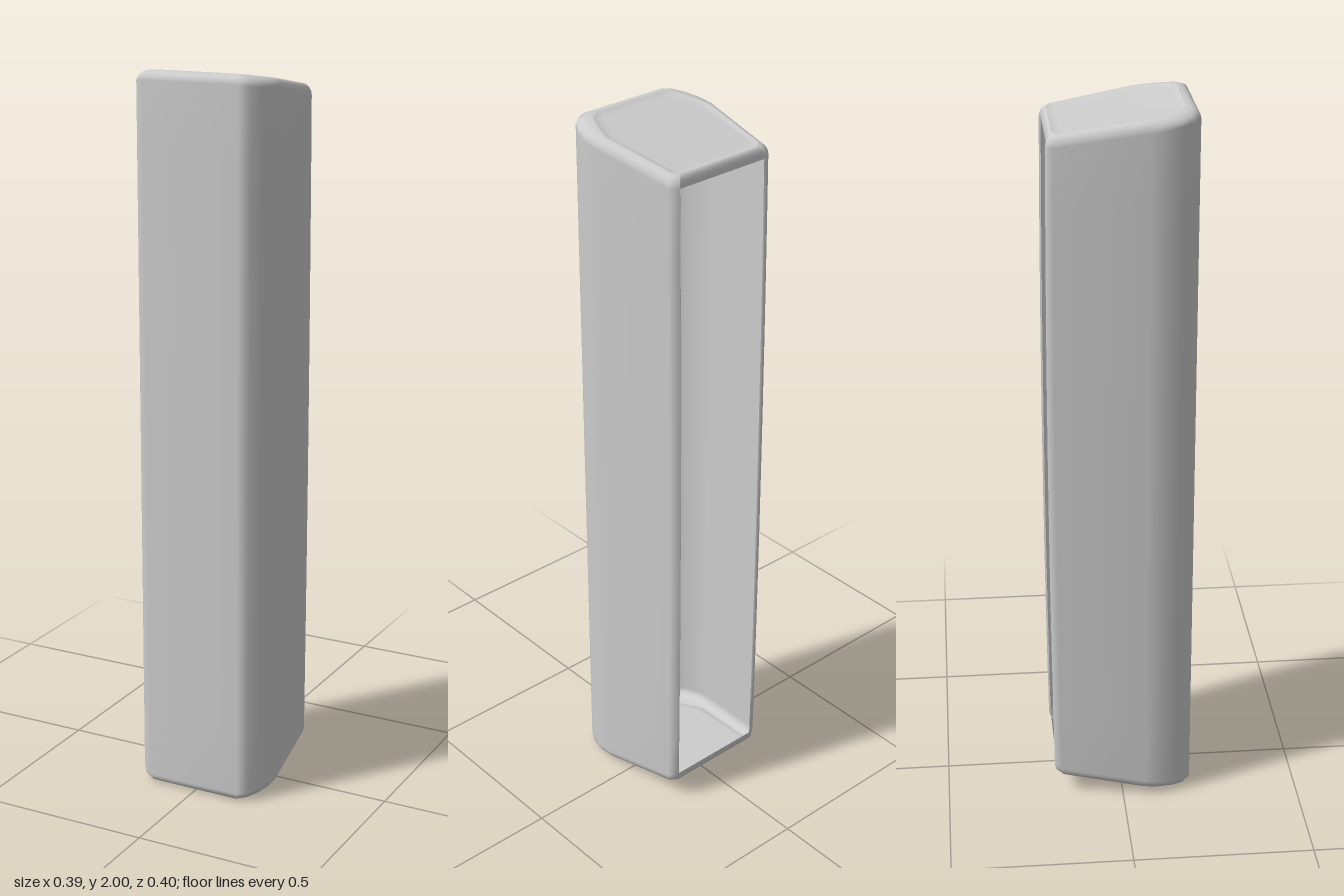
import * as THREE from 'three';

// Half outlines [x, z], running from the open back round to the front
const WALL = [[0.14, -0.195], [0.145, -0.2], [0.167, -0.181], [0.197, 0.065], [0.196, 0.105], [0.183, 0.15], [0.163, 0.18], [0.138, 0.197]];
const CAP = [[0.125, -0.177], [0.132, -0.172], [0.145, -0.16], [0.171, 0.05], [0.163, 0.08], [0.15, 0.112], [0.135, 0.145], [0.11, 0.162]];
const FILLET = 0.03, SLOPE = 0.16;

const mirror = (half) => [...half, ...half.map(([x, z]) => [-x, z]).reverse()];
const capY = (z) => 2 - SLOPE * (0.162 - z); // sloping end plane

// The wall bows out a little at mid height along the back
const wallAt = (t) => mirror(WALL.map(([x, z]) => [x, z < 0 ? z * (0.97 + 0.03 * (1 - t * t)) : z]));
const cap = mirror(CAP);
const N = cap.length;

// One ring of the rounded end, a = 0 at the wall and PI / 2 at the cap
function filletRing(a) {
  return wallAt(1).map(([x, z], i) => {
    const [cx, cz] = cap[i];
    const k = Math.cos(a);
    const pz = cz + (z - cz) * k;
    return [cx + (x - cx) * k, capY(pz) - FILLET * (1 - Math.sin(a)), pz];
  });
}
const flip = (ring) => ring.map(([x, y, z]) => [x, 2 - y, z]);

function build(rings, index) {
  const geo = new THREE.BufferGeometry();
  geo.setAttribute('position', new THREE.Float32BufferAttribute(rings.flat(2), 3));
  geo.setIndex(index);
  geo.computeVertexNormals();
  return geo;
}

// Open-backed wall with rounded ends
function shellGeometry() {
  const steps = 5, rows = 10, rings = [], index = [];
  const ends = Array.from({ length: steps + 1 }, (_, k) => filletRing((k / steps) * Math.PI / 2));
  for (let k = steps; k >= 0; k--) rings.push(flip(ends[k]));
  for (let r = 1; r < rows; r++) {
    const t = (2 * r) / rows - 1;
    rings.push(wallAt(t).map(([x, z], i) => [x, 1 + t * (ends[0][i][1] - 1), z]));
  }
  rings.push(...ends);
  for (let j = 0; j < rings.length - 1; j++) {
    const open = j >= steps && j < steps + rows;
    for (let i = 0; i < (open ? N - 1 : N); i++) {
      const a = j * N + i, b = j * N + ((i + 1) % N), c = a + N, d = b + N;
      index.push(a, c, b, b, c, d);
    }
  }
  return build(rings, index);
}

// Sloping end panel with a faintly sunken middle
function capGeometry(top) {
  const ring = (s, drop) => cap.map(([x, z]) => [x * s, capY(z * s) - drop, z * s]);
  let rings = [ring(1, 0), ring(0.94, 0.003), ring(0.87, 0.004), [[0, capY(0) - 0.004, 0]]];
  if (!top) rings = rings.map(flip);
  const index = [];
  const tri = (a, b, c) => (top ? index.push(a, b, c) : index.push(a, c, b));
  for (let i = 0; i < N; i++) {
    const n = (i + 1) % N;
    for (let j = 0; j < 2; j++) {
      const o = j * N;
      tri(o + i, o + N + i, o + n);
      tri(o + n, o + N + i, o + N + n);
    }
    tri(3 * N, 2 * N + n, 2 * N + i);
  }
  return build(rings, index);
}

export function createModel() {
  const group = new THREE.Group();
  group.name = 'openBackedCover';
  const material = new THREE.MeshStandardMaterial({ color: 0xcccccc, side: THREE.DoubleSide });
  const add = (name, geometry) => {
    const mesh = new THREE.Mesh(geometry, material);
    mesh.name = name;
    group.add(mesh);
  };
  add('shell', shellGeometry());
  add('topCap', capGeometry(true));
  add('bottomCap', capGeometry(false));
  return group;
}
